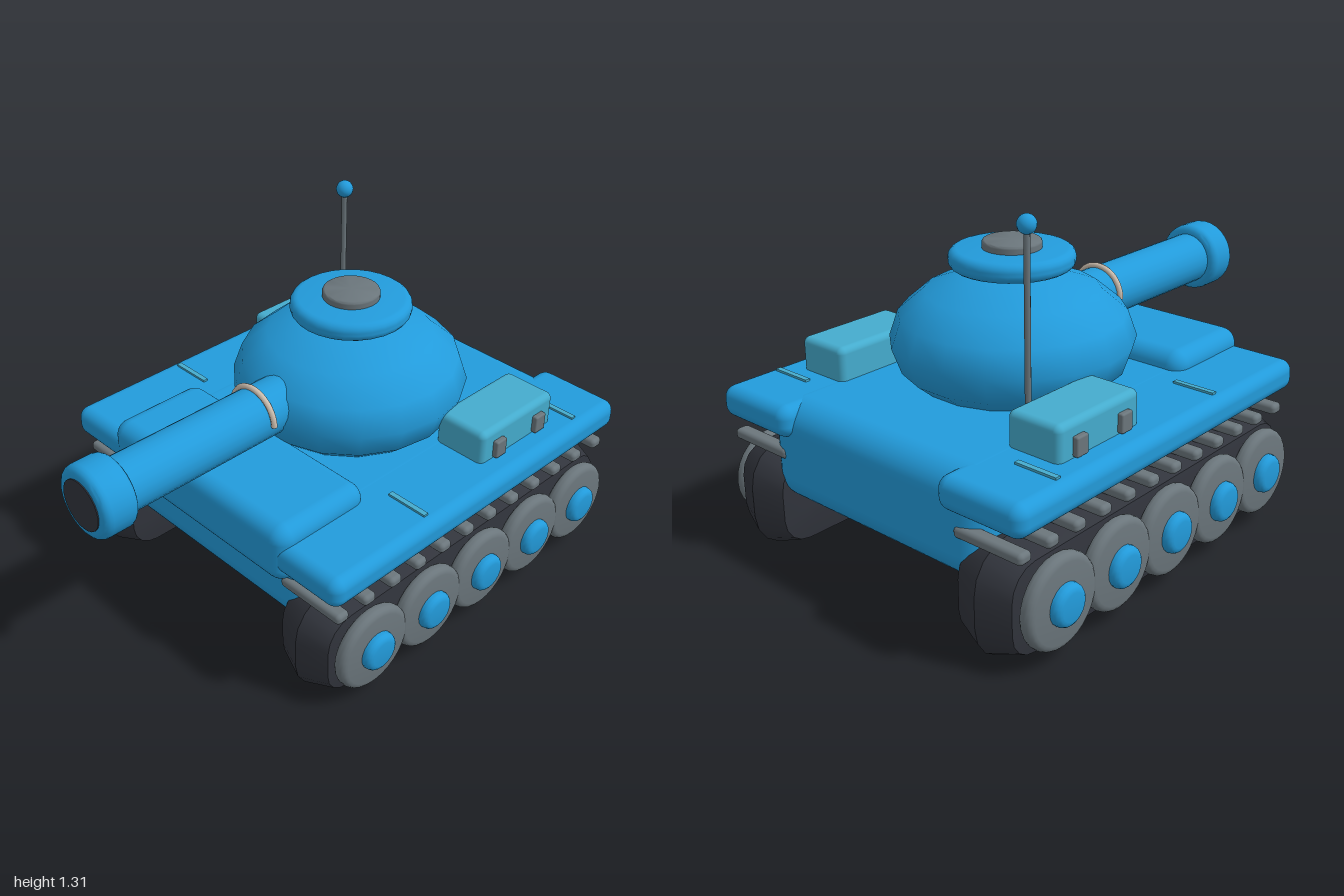
import * as THREE from 'three';
import { toCreasedNormals } from 'three/addons/utils/BufferGeometryUtils.js';
import { RoundedBoxGeometry } from 'three/addons/geometries/RoundedBoxGeometry.js';

const material = (name, color) => Object.assign(new THREE.MeshStandardMaterial({ color }), { name });

// Round disc along y with softened rims
function discGeometry(radius, height, bevel, sides = 28) {
  const pts = [new THREE.Vector2(0, -height / 2)];
  for (const side of [-1, 1]) {
    for (let i = 0; i <= 4; i++) {
      const a = (side < 0 ? i - 4 : i) * Math.PI / 8;
      pts.push(new THREE.Vector2(
        radius - bevel + bevel * Math.cos(a),
        side * (height / 2 - bevel) + bevel * Math.sin(a)));
    }
  }
  pts.push(new THREE.Vector2(0, height / 2));
  return toCreasedNormals(new THREE.LatheGeometry(pts, sides), 0.7);
}

// Rounded-rectangle loop in the y/z plane
function trackLoop(inset) {
  const hy = 0.205 - inset, hz = 0.785 - inset, r = Math.max(0.15 - inset, 0.03);
  const loop = [];
  for (let c = 0; c < 4; c++) {
    const sy = c === 0 || c === 3 ? 1 : -1, sz = c < 2 ? 1 : -1;
    for (let i = 0; i <= 4; i++) {
      const a = (c + i / 4) * Math.PI / 2;
      loop.push([sy * (hy - r) + r * Math.cos(a), sz * (hz - r) + r * Math.sin(a)]);
    }
  }
  return loop;
}

// Track belt lofted across its width, with a central ridge
function trackGeometry() {
  const layers = [[-0.13, 0.15], [-0.112, 0.045], [0, 0], [0.112, 0.045], [0.13, 0.15]];
  const pos = [], idx = [];
  let n = 0;
  for (const [x, inset] of layers) {
    const loop = trackLoop(inset);
    n = loop.length;
    for (const [y, z] of loop) pos.push(x, y, z);
  }
  const last = layers.length - 1, capA = n * layers.length, capB = capA + 1;
  pos.push(layers[0][0], 0, 0, layers[last][0], 0, 0);
  for (let j = 0; j < n; j++) {
    const k = (j + 1) % n;
    for (let i = 0; i < last; i++) {
      const a = i * n + j, b = i * n + k;
      idx.push(a, b, b + n, a, b + n, a + n);
    }
    idx.push(capA, k, j, capB, last * n + j, last * n + k);
  }
  const g = new THREE.BufferGeometry();
  g.setAttribute('position', new THREE.Float32BufferAttribute(pos, 3));
  g.setIndex(idx);
  return toCreasedNormals(g, 0.65);
}

export function createModel() {
  const blue = material('blue paint', 0x229bdb);
  const teal = material('teal paint', 0x45acce);
  const grey = material('grey metal', 0x6b767c);
  const dark = material('dark rubber', 0x31343c);
  const beige = material('beige band', 0xcdbfb0);

  const model = new THREE.Group();
  model.name = 'tank';
  const add = (name, geometry, mat, x, y, z, parent = model) => {
    const mesh = new THREE.Mesh(geometry, mat);
    mesh.name = name;
    mesh.position.set(x, y, z);
    parent.add(mesh);
    return mesh;
  };
  const box = (w, h, d, r) => new RoundedBoxGeometry(w, h, d, 4, r);

  // Hull
  add('hull', box(1.0, 0.377, 1.445, 0.1), blue, 0, 0.4185, -0.222);
  add('frontPlate', box(0.92, 0.23, 0.41, 0.06), blue, 0, 0.555, 0.355);

  // Turret and hatch
  const turretZ = -0.223;
  add('turret', new THREE.SphereGeometry(1, 18, 8), blue, 0, 0.75, turretZ).scale.set(0.44, 0.25, 0.44);
  add('hatch', discGeometry(0.224, 0.07, 0.03), blue, 0, 1.04, turretZ);
  add('hatchCap', discGeometry(0.106, 0.04, 0.012), grey, 0, 1.085, turretZ);

  // Gun
  const gunY = 0.783;
  const gunPart = (name, geometry, mat, z) => {
    add(name, geometry, mat, 0, gunY, z).rotation.x = Math.PI / 2;
  };
  gunPart('barrel', new THREE.CylinderGeometry(0.101, 0.101, 0.9, 24), blue, 0.45);
  gunPart('muzzle', discGeometry(0.135, 0.138, 0.03), blue, 0.927);
  gunPart('bore', new THREE.CylinderGeometry(0.094, 0.094, 0.008, 24), dark, 0.996);
  add('barrelBand', new THREE.TorusGeometry(0.108, 0.011, 8, 24, Math.PI), beige, 0, gunY, 0.26);

  // Antenna
  add('antennaRod', new THREE.CylinderGeometry(0.011, 0.011, 0.68, 10), grey, -0.344, 0.93, -0.532);
  add('antennaBall', new THREE.SphereGeometry(0.033, 16, 12), blue, -0.344, 1.283, -0.532);

  // Parts repeated on both sides
  const belt = trackGeometry();
  const wheel = discGeometry(0.163, 0.055, 0.025);
  const hub = discGeometry(0.073, 0.07, 0.025, 20);
  const link = box(0.28, 0.04, 0.056, 0.016);
  const fender = box(0.35, 0.117, 1.53, 0.045);
  const bin = box(0.215, 0.15, 0.408, 0.025);
  const latch = box(0.024, 0.07, 0.056, 0.007);
  const slit = new THREE.BoxGeometry(0.165, 0.009, 0.02);
  for (const s of [1, -1]) {
    const side = new THREE.Group();
    side.name = s > 0 ? 'leftSide' : 'rightSide';
    model.add(side);
    add('track', belt, dark, s * 0.538, 0.207, -0.215, side);
    add('fender', fender, blue, s * 0.53, 0.547, -0.215, side);
    add('storageBin', bin, teal, s * 0.4975, 0.655, -0.484, side);
    for (const z of [-0.37, -0.595]) add('binLatch', latch, grey, s * 0.614, 0.645, z, side);
    for (const z of [0.075, -0.757]) add('deckSlit', slit, teal, s * 0.578, 0.609, z, side);
    for (let i = 0; i < 5; i++) {
      const z = 0.357 - i * 0.286;
      add('wheel', wheel, grey, s * 0.688, 0.214, z, side).rotation.z = -s * Math.PI / 2;
      add('wheelHub', hub, blue, s * 0.714, 0.214, z, side).rotation.z = -s * Math.PI / 2;
    }
    for (let i = 0; i < 12; i++) {
      add('trackLink', link, grey, s * 0.542, 0.417, 0.485 - i * 0.128, side);
    }
  }
  return model;
}
